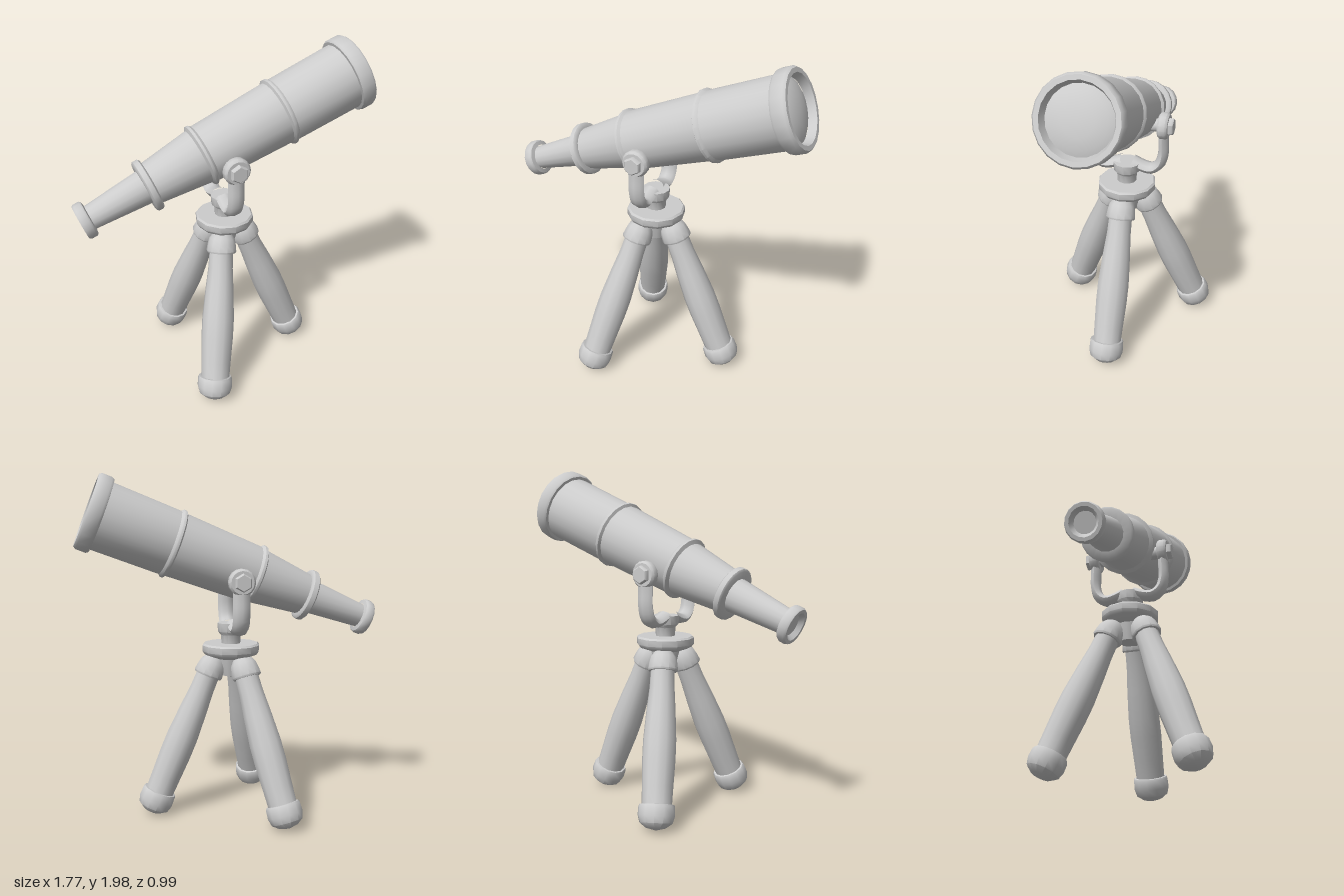
import * as THREE from 'three';
import { toCreasedNormals } from 'three/addons/utils/BufferGeometryUtils.js';

const grey = new THREE.MeshStandardMaterial({ color: 0xcccccc });
grey.name = 'light grey';

function part(name, geometry, crease = 0.75) {
  const mesh = new THREE.Mesh(toCreasedNormals(geometry, crease), grey);
  mesh.name = name;
  return mesh;
}

// Turned part: pairs of [radius, height], listed from bottom to top
function turned(name, profile, sides = 16) {
  const points = profile.map(([r, h]) => new THREE.Vector2(r, h));
  return part(name, new THREE.LatheGeometry(points, sides));
}

// Optical tube, built upright from the eyepiece and then tilted
function makeTelescope() {
  const g = new THREE.Group();
  g.name = 'telescope';
  g.add(
    turned('eyepiece', [[0, 0.025], [0.06, 0.025], [0.08, 0], [0.1, 0], [0.107, 0.012],
      [0.107, 0.045], [0.1, 0.055], [0.075, 0.06]]),
    turned('eyepieceTube', [[0.07, 0.05], [0.1, 0.41]]),
    turned('rearCollar', [[0.09, 0.394], [0.142, 0.394], [0.153, 0.403], [0.153, 0.432],
      [0.142, 0.441], [0.12, 0.441]], 20),
    turned('rearTube', [[0.122, 0.43], [0.163, 0.76]], 20),
    turned('middleBand', [[0.158, 0.738], [0.182, 0.75], [0.182, 0.765], [0.165, 0.782]], 20),
    turned('middleTube', [[0.168, 0.76], [0.187, 1.265]], 20),
    turned('frontBand', [[0.183, 1.247], [0.202, 1.258], [0.202, 1.272], [0.186, 1.29]], 20),
    turned('frontTube', [[0.189, 1.265], [0.196, 1.71]], 20),
    turned('frontRim', [[0.19, 1.69], [0.213, 1.692], [0.221, 1.705], [0.221, 1.765],
      [0.21, 1.779], [0.185, 1.779], [0.17, 1.735]], 20),
    // domed front glass; profile runs upward to the pole
    turned('lens', [[0.175, 1.73], [0.14, 1.748], [0.08, 1.762], [0, 1.768]], 20),
  );
  g.position.set(-0.844, 1.132, 0);
  g.rotation.z = THREE.MathUtils.degToRad(21.2 - 90);
  return g;
}

// Forked mount with a pivot at each side
function makeYoke() {
  const g = new THREE.Group();
  g.name = 'yoke';
  for (const side of [1, -1]) {
    const path = new THREE.CatmullRomCurve3(
      [[0.21, 1.38], [0.21, 1.29], [0.21, 1.2], [0.19, 1.135], [0.145, 1.1], [0.095, 1.105], [0.03, 1.13]]
        .map(([z, y]) => new THREE.Vector3(0, y, z * side)));
    const arm = part('yokeArm', new THREE.TubeGeometry(path, 18, 0.031, 8).scale(1.6, 1, 1), 1);
    arm.position.x = -0.016;
    g.add(arm);

    const pivot = new THREE.Group();
    pivot.name = 'pivot';
    pivot.add(
      turned('pivotShaft', [[0, 0.11], [0.038, 0.11], [0.038, 0.2]], 10),
      turned('pivotDisc', [[0, 0.183], [0.066, 0.183], [0.077, 0.195], [0.077, 0.228],
        [0.066, 0.24], [0, 0.24]]),
      turned('pivotKnob', [[0.052, 0.23], [0.052, 0.26], [0.045, 0.267], [0, 0.267]], 6),
    );
    pivot.position.set(-0.016, 1.38, 0);
    pivot.rotation.x = side * Math.PI / 2;
    g.add(pivot);
  }
  return g;
}

// Tripod leg leaning outward toward +x
function makeLeg() {
  const g = new THREE.Group();
  g.name = 'leg';
  g.add(
    turned('foot', [[0, -0.135], [0.055, -0.122], [0.092, -0.095], [0.104, -0.055],
      [0.102, -0.005], [0.096, 0.006], [0.06, 0.01]], 12),
    turned('legShaft', [[0.084, -0.01], [0.088, 0.1], [0.094, 0.25], [0.094, 0.36],
      [0.083, 0.53], [0.072, 0.66], [0.069, 0.77]], 12),
    turned('legJoint', [[0.06, 0.752], [0.083, 0.752], [0.088, 0.762], [0.083, 0.8],
      [0.075, 0.835], [0.05, 0.87], [0, 0.89]], 12),
  );
  g.position.set(0.434, 0.13, 0);
  g.rotation.z = Math.atan2(0.296, 0.695);
  return g;
}

export function createModel() {
  const model = new THREE.Group();
  model.name = 'tripodTelescope';
  model.add(makeTelescope(), makeYoke());
  model.add(
    turned('post', [[0.055, 0.99], [0.06, 1.06], [0.078, 1.08], [0.08, 1.13], [0, 1.13]], 12),
    turned('hub', [[0, 0.82], [0.06, 0.82], [0.075, 0.87], [0.085, 0.92], [0.155, 0.945],
      [0.17, 0.965], [0.17, 1.0], [0.16, 1.01], [0, 1.01]], 12),
  );
  // Three legs, evenly spread
  for (let i = 0; i < 3; i++) {
    const turn = new THREE.Group();
    turn.name = 'legMount';
    turn.rotation.y = i * Math.PI * 2 / 3;
    turn.add(makeLeg());
    model.add(turn);
  }
  return model;
}
